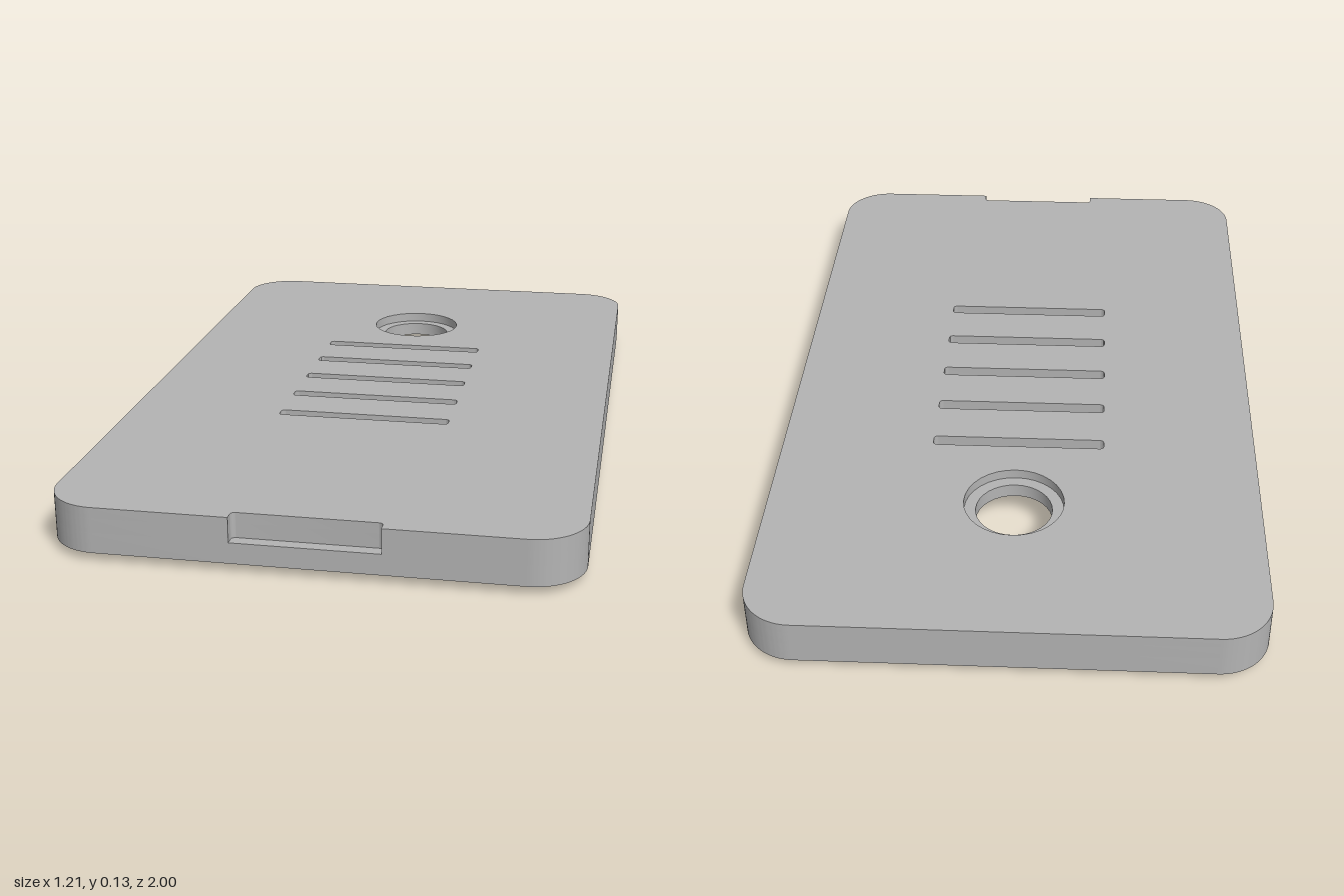
import * as THREE from 'three';
import { toCreasedNormals } from 'three/addons/utils/BufferGeometryUtils.js';

const W = 0.607, L = 1; // half width and half length of the cover
const CEILING = 0.07, TOP = 0.13, RECESS = 0.105, RIM = 0.02;

// Rounded rectangle; w and l are half sizes
function roundedRect(w, l, r, Type = THREE.Shape, cy = 0) {
  const p = new Type();
  p.absarc(w - r, cy + l - r, r, 0, Math.PI / 2);
  p.absarc(-w + r, cy + l - r, r, Math.PI / 2, Math.PI);
  p.absarc(-w + r, cy - l + r, r, Math.PI, Math.PI * 1.5);
  p.absarc(w - r, cy - l + r, r, Math.PI * 1.5, Math.PI * 2);
  p.closePath();
  return p;
}

// Cover outline with the shallow thumb notch in the front edge (front is -y in the shape)
function notchedOutline() {
  const r = 0.125, n = 0.17, d = 0.03, f = 0.012;
  const s = new THREE.Shape();
  s.absarc(W - r, L - r, r, 0, Math.PI / 2);
  s.absarc(-W + r, L - r, r, Math.PI / 2, Math.PI);
  s.absarc(-W + r, -L + r, r, Math.PI, Math.PI * 1.5);
  s.lineTo(-n, -L);
  s.lineTo(-n, -L + d - f);
  s.quadraticCurveTo(-n, -L + d, -n + f, -L + d);
  s.lineTo(n - f, -L + d);
  s.quadraticCurveTo(n, -L + d, n, -L + d - f);
  s.lineTo(n, -L);
  s.absarc(W - r, -L + r, r, Math.PI * 1.5, Math.PI * 2);
  s.closePath();
  return s;
}

export function createModel() {
  const group = new THREE.Group();
  const grey = new THREE.MeshStandardMaterial({ color: 0xb4b4b4 });
  grey.name = 'grey plastic';

  // Horizontal layer from y0 to y1
  function layer(name, shape, y0, y1) {
    let g = new THREE.ExtrudeGeometry(shape, { depth: y1 - y0, bevelEnabled: false, curveSegments: 16 });
    g.rotateX(-Math.PI / 2);
    g.translate(0, y0, 0);
    g = toCreasedNormals(g, 0.5);
    const mesh = new THREE.Mesh(g, grey);
    mesh.name = name;
    group.add(mesh);
  }

  // Top plate in two layers: the round hole is wider in the upper one
  function plate(holeRadius) {
    const s = notchedOutline();
    s.holes.push(new THREE.Path().absarc(0, 0.55, holeRadius, 0, Math.PI * 2));
    for (let i = -2; i <= 2; i++) {
      s.holes.push(roundedRect(0.22, 0.0175, 0.01, THREE.Path, i * 0.156));
    }
    return s;
  }
  layer('topPlate', plate(0.124), RECESS, TOP);
  layer('recessPlate', plate(0.095), CEILING, RECESS);

  // Side wall around the hollow underside
  const wall = roundedRect(W, L, 0.125);
  wall.holes.push(roundedRect(0.525, 0.918, 0.05, THREE.Path));
  layer('sideWall', wall, RIM, CEILING);

  // Locating lip below the wall, open in the middle of the back edge
  const w = 0.566, l = 0.956, r = 0.085, t = 0.028, gap = 0.32;
  const lip = new THREE.Shape();
  lip.moveTo(-gap, l);
  lip.absarc(-w + r, l - r, r, Math.PI / 2, Math.PI);
  lip.absarc(-w + r, -l + r, r, Math.PI, Math.PI * 1.5);
  lip.absarc(w - r, -l + r, r, Math.PI * 1.5, Math.PI * 2);
  lip.absarc(w - r, l - r, r, 0, Math.PI / 2);
  lip.lineTo(gap, l);
  lip.lineTo(gap, l - t);
  lip.absarc(w - r, l - r, r - t, Math.PI / 2, 0, true);
  lip.absarc(w - r, -l + r, r - t, 0, -Math.PI / 2, true);
  lip.absarc(-w + r, -l + r, r - t, -Math.PI / 2, -Math.PI, true);
  lip.absarc(-w + r, l - r, r - t, Math.PI, Math.PI / 2, true);
  lip.lineTo(-gap, l - t);
  lip.closePath();
  layer('lip', lip, 0, RIM);

  return group;
}
